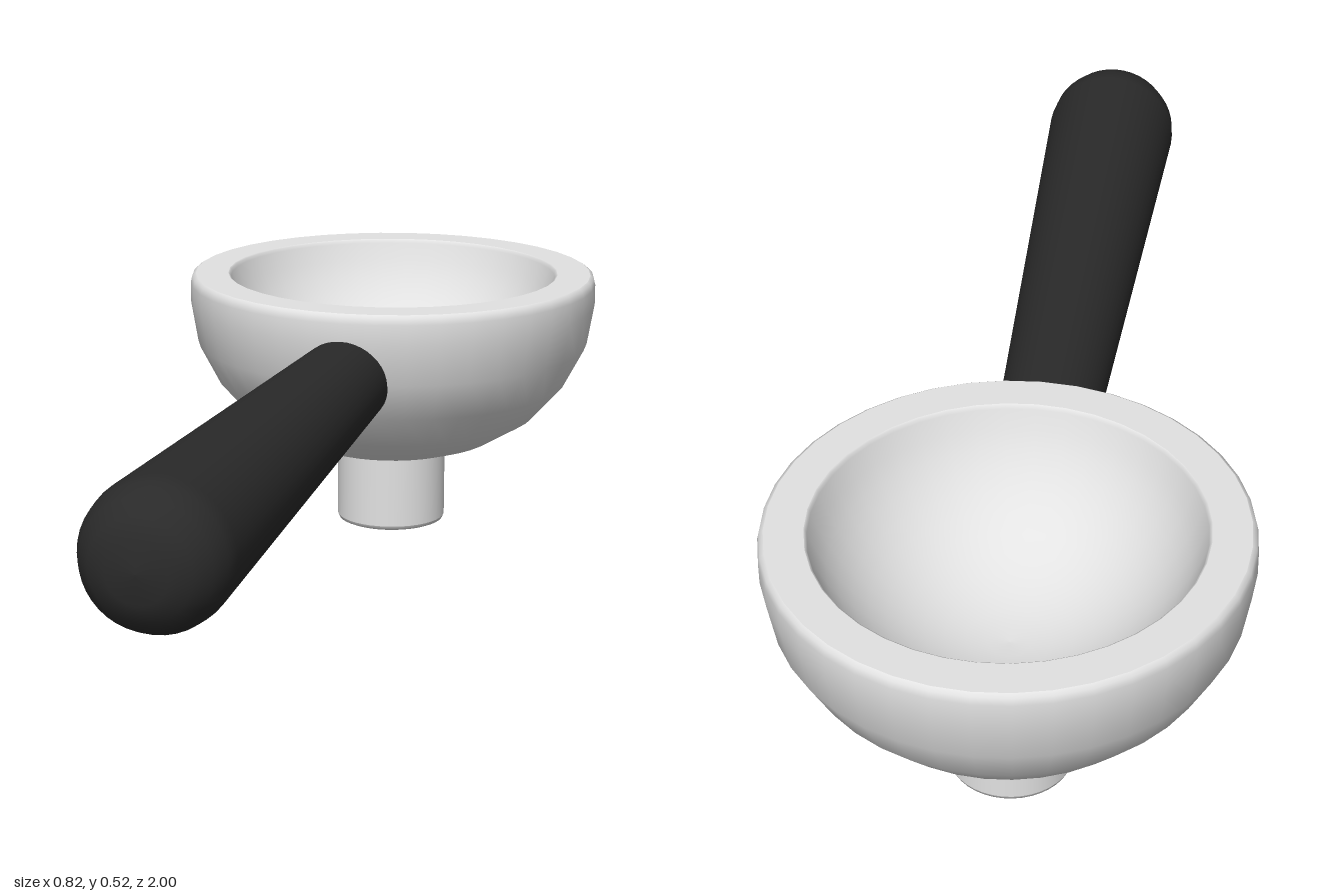
import * as THREE from 'three';

const steel = new THREE.MeshStandardMaterial({ color: 0xe2e2e2 });
steel.name = 'steel';
const black = new THREE.MeshStandardMaterial({ color: 0x2a2a2a });
black.name = 'black grip';

// Lathe part from [radius, height] points; a repeated point makes a sharp edge
function turned(name, points, material, segments = 40) {
  const geometry = new THREE.LatheGeometry(points.map(([r, y]) => new THREE.Vector2(r, y)), segments);
  const mesh = new THREE.Mesh(geometry, material);
  mesh.name = name;
  return mesh;
}

export function createModel() {
  const group = new THREE.Group();
  group.name = 'filterHolder';
  const bowlZ = -0.592;

  // Hollow of the bowl: a spherical cap from the lip down to the middle
  const lip = 0.328, depth = 0.245;
  const radius = (lip * lip + depth * depth) / (2 * depth);
  const hollow = Array.from({ length: 13 }, (_, i) => {
    const a = Math.asin(lip / radius) * (1 - i / 12);
    return [radius * Math.sin(a), 0.51 - depth + radius * (1 - Math.cos(a))];
  });

  // Thick-walled bowl: outside, flat rim with small bevels, hollow
  const bowl = turned('bowl', [
    [0, 0.148], [0.11, 0.154], [0.163, 0.165], [0.21, 0.181], [0.293, 0.231], [0.354, 0.3],
    [0.395, 0.378], [0.409, 0.46], [0.409, 0.5], [0.406, 0.513], [0.399, 0.518], [0.399, 0.518],
    [0.333, 0.518], [0.333, 0.518], [0.33, 0.516], ...hollow,
  ], steel);
  bowl.position.z = bowlZ;
  group.add(bowl);

  // Spout under the bowl
  const spout = turned('spout', [
    [0, 0], [0.1, 0], [0.1, 0], [0.107, 0.003], [0.11, 0.01], [0.11, 0.01], [0.11, 0.165],
  ], steel);
  spout.position.z = bowlZ;
  group.add(spout);

  // Tapered handle with a domed end, pointing forward
  const handle = turned('handle', [
    [0, -0.25], [0.085, -0.25], [0.085, -0.25], [0.127, 0.885], [0.123, 0.92],
    [0.109, 0.953], [0.085, 0.979], [0.052, 0.995], [0, 1],
  ], black);
  handle.rotation.x = Math.PI / 2;
  handle.position.y = 0.378;
  group.add(handle);

  return group;
}
